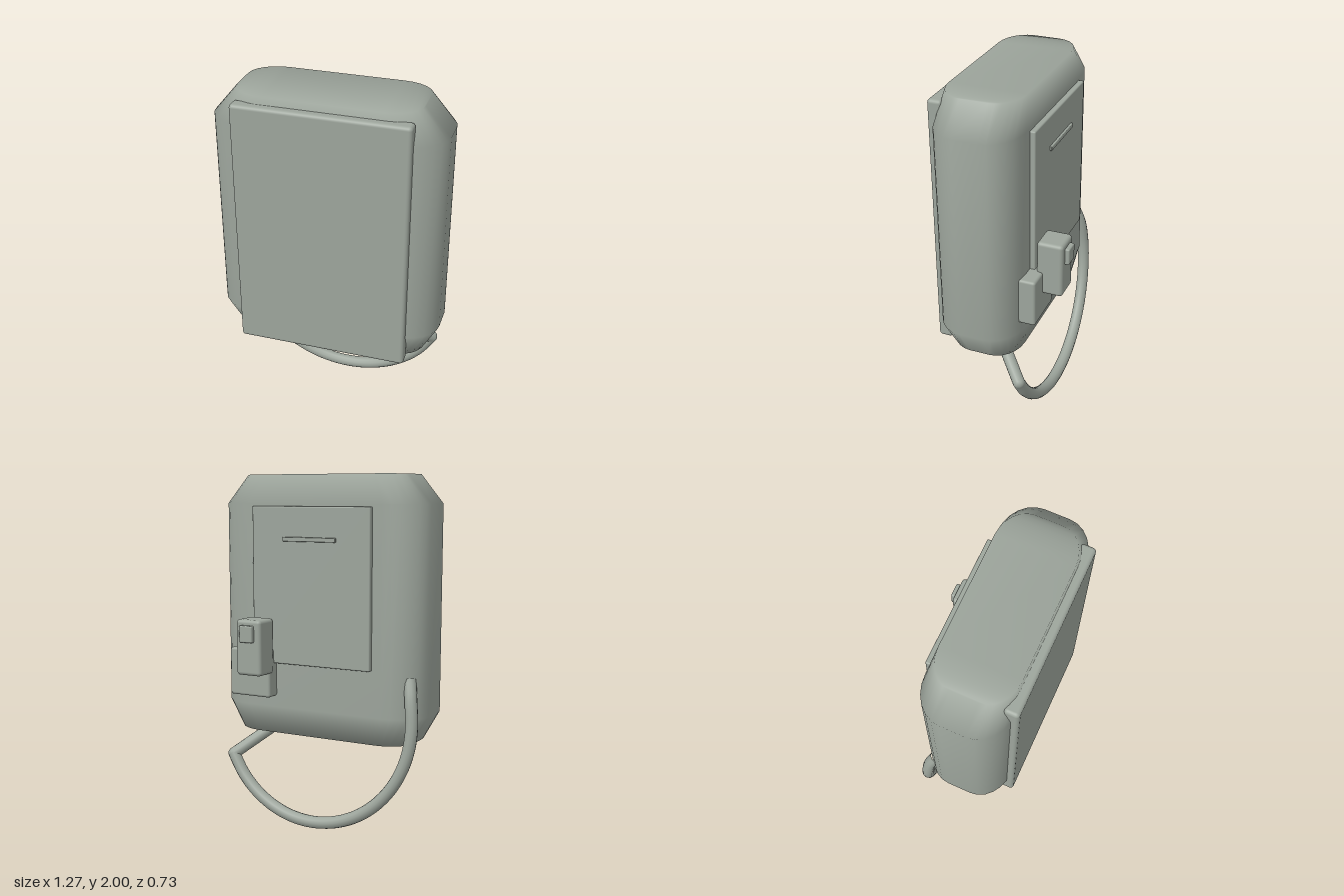
import * as THREE from 'three';
import { RoundedBoxGeometry } from 'three/addons/geometries/RoundedBoxGeometry.js';

// Rounded rectangle in the xz plane at height y
function ring(y, hx, z0, z1, rx, rz, seg) {
  const pts = [];
  const cz = (z0 + z1) / 2, hz = (z1 - z0) / 2;
  const signs = [[1, 1], [-1, 1], [-1, -1], [1, -1]];
  signs.forEach(([sx, sz], q) => {
    for (let j = 0; j <= seg; j++) {
      const t = (q + j / seg) * Math.PI / 2;
      pts.push([sx * (hx - rx) + rx * Math.cos(t), y, cz + sz * (hz - rz) + rz * Math.sin(t)]);
    }
  });
  return pts;
}

// Smooth skin through stacked rings, closed at both ends
function loft(rings) {
  const n = rings[0].length, index = [];
  for (let r = 0; r < rings.length - 1; r++) {
    for (let i = 0; i < n; i++) {
      const a = r * n + i, b = r * n + (i + 1) % n;
      index.push(a, a + n, b, b, a + n, b + n);
    }
  }
  const top = (rings.length - 1) * n;
  for (let i = 0; i < n / 2 - 1; i++) {
    const a = i, b = i + 1, c = n - 2 - i, d = n - 1 - i;
    index.push(a, b, c, a, c, d);
    index.push(top + a, top + c, top + b, top + a, top + d, top + c);
  }
  const geo = new THREE.BufferGeometry();
  geo.setAttribute('position', new THREE.Float32BufferAttribute(rings.flat(2), 3));
  geo.setIndex(index);
  geo.computeVertexNormals();
  return geo;
}

export function createModel() {
  const group = new THREE.Group();
  const grey = new THREE.MeshStandardMaterial({ color: 0x9da59c });
  grey.name = 'sage grey';

  const add = (name, geo) => {
    const mesh = new THREE.Mesh(geo, grey);
    mesh.name = name;
    group.add(mesh);
    return mesh;
  };
  // Rounded box given by its min and max on each axis
  const box = (name, [x0, x1], [y0, y1], [z0, z1], r) => {
    const mesh = add(name, new RoundedBoxGeometry(x1 - x0, y1 - y0, z1 - z0, 3, r));
    mesh.position.set((x0 + x1) / 2, (y0 + y1) / 2, (z0 + z1) / 2);
  };

  // Main housing with tapered ends
  add('housing', loft([
    ring(0.52, 0.55, -0.12, 0.28, 0.18, 0.14, 6),
    ring(0.68, 0.635, -0.15, 0.33, 0.21, 0.17, 6),
    ring(1.84, 0.635, -0.15, 0.33, 0.21, 0.17, 6),
    ring(2.0, 0.5, -0.12, 0.31, 0.18, 0.14, 6),
  ]));

  // Front cover and rear panel with its slot bar
  box('frontCover', [-0.48, 0.48], [0.52, 1.96], [0.28, 0.363], 0.02);
  box('rearPanel', [-0.37, 0.37], [0.94, 1.825], [-0.18, -0.12], 0.008);
  box('slotBar', [-0.165, 0.165], [1.632, 1.657], [-0.192, -0.17], 0.004);

  // Rear connector
  box('connectorBase', [0.235, 0.5], [0.745, 1.02], [-0.23, -0.12], 0.015);
  box('connectorBody', [0.225, 0.385], [0.885, 1.2], [-0.34, -0.192], 0.02);
  box('connectorLatch', [0.264, 0.348], [1.075, 1.17], [-0.365, -0.33], 0.008);

  // Hanging cable: a tilted arc from the rear corner to the elbow
  const arc = [[-0.565, 0.9, -0.075], [-0.588, 0.79, -0.11]];
  for (let i = 0; i <= 12; i++) {
    const t = Math.PI + (i / 12) * 2.67;
    const y = 0.64 + 0.602 * Math.sin(t);
    arc.push([0.602 * Math.cos(t), y, -0.128 - 0.048 * (0.64 - y) / 0.6]);
  }
  const r = 0.035;
  const path = new THREE.CatmullRomCurve3(arc.map((p) => new THREE.Vector3(...p)));
  add('cableLoop', new THREE.TubeGeometry(path, 64, r, 12));

  // Short straight run from the elbow into the underside
  const elbow = new THREE.Vector3(...arc[arc.length - 1]);
  const entry = new THREE.Vector3(0.29, 0.585, 0.11);
  add('cableRun', new THREE.TubeGeometry(new THREE.LineCurve3(elbow, entry), 1, r, 12));
  add('cableElbow', new THREE.SphereGeometry(r, 12, 8)).position.copy(elbow);

  return group;
}
